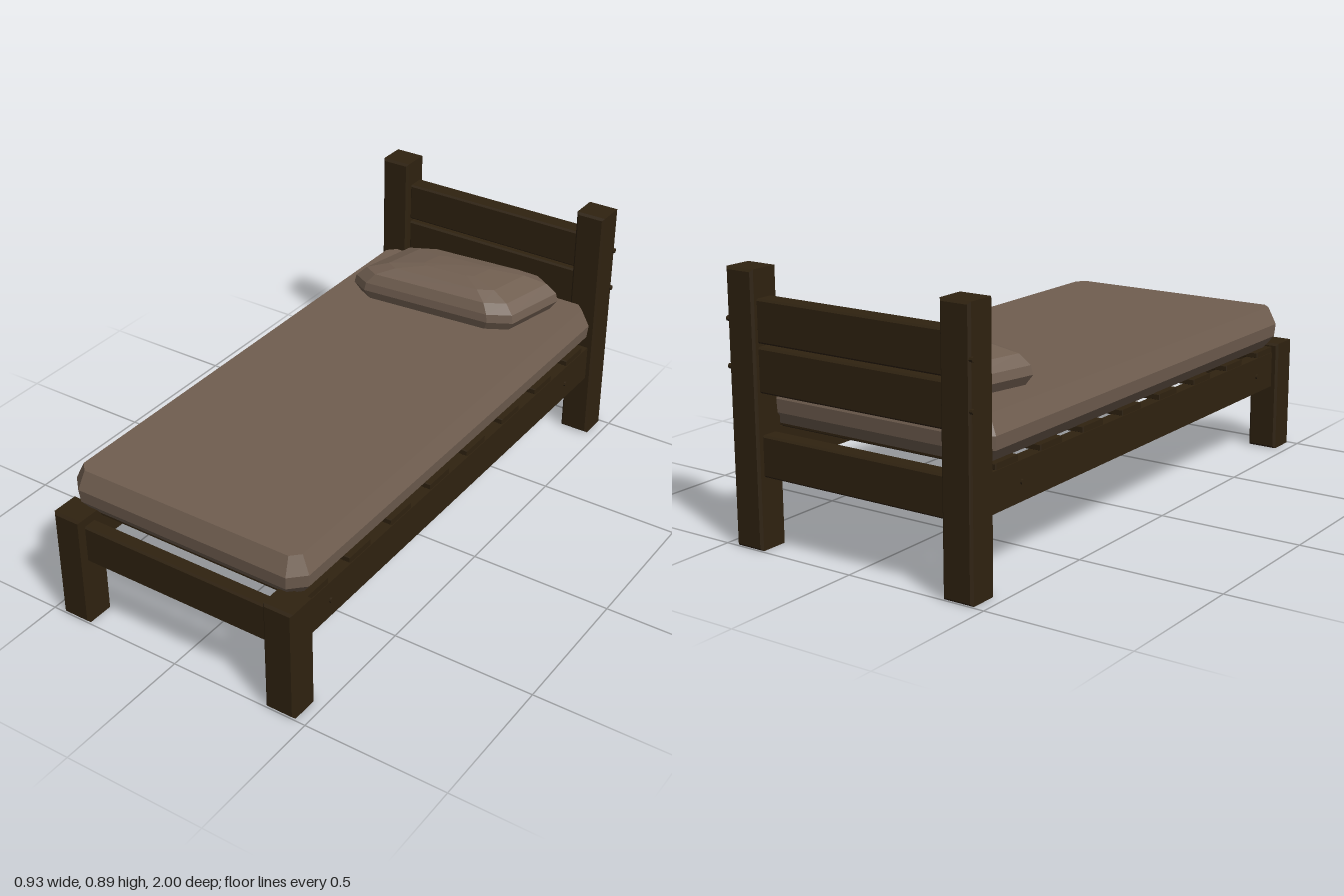
import * as THREE from 'three';

const wood = new THREE.MeshStandardMaterial({ color: 0x2f2210, flatShading: true });
wood.name = 'dark wood';
const linen = new THREE.MeshStandardMaterial({ color: 0x705e50, flatShading: true });
linen.name = 'brown linen';

// Timber with chamfered edges, given by its limits on each axis
function beam(name, x0, x1, y0, y1, z0, z1, b = 0.006) {
  const w = (x1 - x0) / 2 - b, h = (y1 - y0) / 2 - b, d = z1 - z0;
  const s = new THREE.Shape();
  s.moveTo(-w, -h).lineTo(w, -h).lineTo(w, h).lineTo(-w, h).closePath();
  const g = new THREE.ExtrudeGeometry(s, {
    depth: d - 2 * b, bevelEnabled: true, bevelSize: b, bevelThickness: b, bevelSegments: 1,
  });
  g.translate((x0 + x1) / 2, (y0 + y1) / 2, z0 + b);
  const mesh = new THREE.Mesh(g, wood);
  mesh.name = name;
  return mesh;
}

// Closed cushion from rings of [x, y, z] listed bottom to top, capped by fans
function cushion(name, rings, crown) {
  const n = rings[0].length, pos = [], idx = [];
  rings.forEach(r => r.forEach(p => pos.push(...p)));
  for (let k = 0; k < rings.length - 1; k++) {
    for (let i = 0; i < n; i++) {
      const j = (i + 1) % n, a = k * n + i, b = k * n + j;
      idx.push(a, b, b + n, a, b + n, a + n);
    }
  }
  const addCap = (ring, start, lift, up) => {
    const c = [0, 1, 2].map(q => ring.reduce((t, p) => t + p[q], 0) / n);
    pos.push(c[0], c[1] + lift, c[2]);
    const m = pos.length / 3 - 1;
    for (let i = 0; i < n; i++) {
      const a = start + i, b = start + (i + 1) % n;
      idx.push(...(up ? [a, b, m] : [b, a, m]));
    }
  };
  addCap(rings[0], 0, 0, false);
  addCap(rings[rings.length - 1], (rings.length - 1) * n, crown, true);
  const g = new THREE.BufferGeometry();
  g.setAttribute('position', new THREE.Float32BufferAttribute(pos, 3));
  g.setIndex(idx);
  g.computeVertexNormals();
  const mesh = new THREE.Mesh(g, linen);
  mesh.name = name;
  return mesh;
}

// Rectangle with cut corners at height y, counter-clockwise seen from above
function cutRect(y, inset, cut) {
  const x = 0.448 - inset, f = 0.942 - inset, b = -0.912 + inset;
  return [
    [x, f - cut], [x, b + cut], [x - cut, b], [-x + cut, b],
    [-x, b + cut], [-x, f - cut], [-x + cut, f], [x - cut, f],
  ].map(([px, pz]) => [px, y, pz]);
}

export function createModel() {
  const bed = new THREE.Group();
  bed.name = 'bed';

  for (const s of [-1, 1]) {
    const x0 = s > 0 ? 0.352 : -0.46, x1 = x0 + 0.108;
    bed.add(beam('footPost', x0, x1, 0, 0.4, 0.89, 1, 0.008));
    bed.add(beam('headPost', x0, x1, 0, 0.893, -1, -0.89, 0.008));
    const r0 = s > 0 ? 0.392 : -0.438;
    bed.add(beam('sideRail', r0, r0 + 0.046, 0.238, 0.367, -0.895, 0.895));

    // Bolt heads on the posts and side rails
    const bolts = [[0.46, 0.73, -0.99], [0.46, 0.58, -0.99], [0.438, 0.3, 0.77], [0.438, 0.3, -0.72]];
    for (const [x, y, z] of bolts) {
      const bolt = new THREE.Mesh(new THREE.CylinderGeometry(0.009, 0.009, 0.012, 8), wood);
      bolt.name = 'bolt';
      bolt.rotation.z = Math.PI / 2;
      bolt.position.set(s * x, y, z);
      bed.add(bolt);
    }
  }

  // Cross rails and headboard planks
  bed.add(beam('footRail', -0.356, 0.356, 0.237, 0.372, 0.925, 0.978));
  bed.add(beam('headRail', -0.356, 0.356, 0.237, 0.372, -0.978, -0.915));
  bed.add(beam('headboardLowerPlank', -0.356, 0.356, 0.507, 0.652, -0.983, -0.915));
  bed.add(beam('headboardUpperPlank', -0.356, 0.356, 0.663, 0.802, -0.983, -0.915));

  // Slats across the side rails
  for (let i = 0; i < 8; i++) {
    const z = 0.835 - i * 0.232;
    bed.add(beam('slat', -0.435, 0.435, 0.365, 0.387, z - 0.058, z + 0.058, 0.003));
  }

  // Mattress
  bed.add(cushion('mattress', [
    cutRect(0.385, 0.038, 0.035), cutRect(0.43, 0.004, 0.05),
    cutRect(0.475, 0, 0.05), cutRect(0.536, 0.028, 0.03),
  ], 0.005));

  // Pillow, skewed and lying at a slight angle
  const outline = [
    [-0.345, -0.525], [-0.28, -0.49], [0.21, -0.53], [0.29, -0.575],
    [0.342, -0.81], [0.28, -0.85], [-0.21, -0.81], [-0.29, -0.77],
  ];
  const levels = [[0.535, 0.93], [0.57, 1], [0.6, 0.98], [0.635, 0.88], [0.66, 0.66], [0.673, 0.32]];
  bed.add(cushion('pillow', levels.map(([y, k]) =>
    outline.map(([x, z]) => [x * k, y, -0.67 + (z + 0.67) * k])), 0.004));

  return bed;
}
